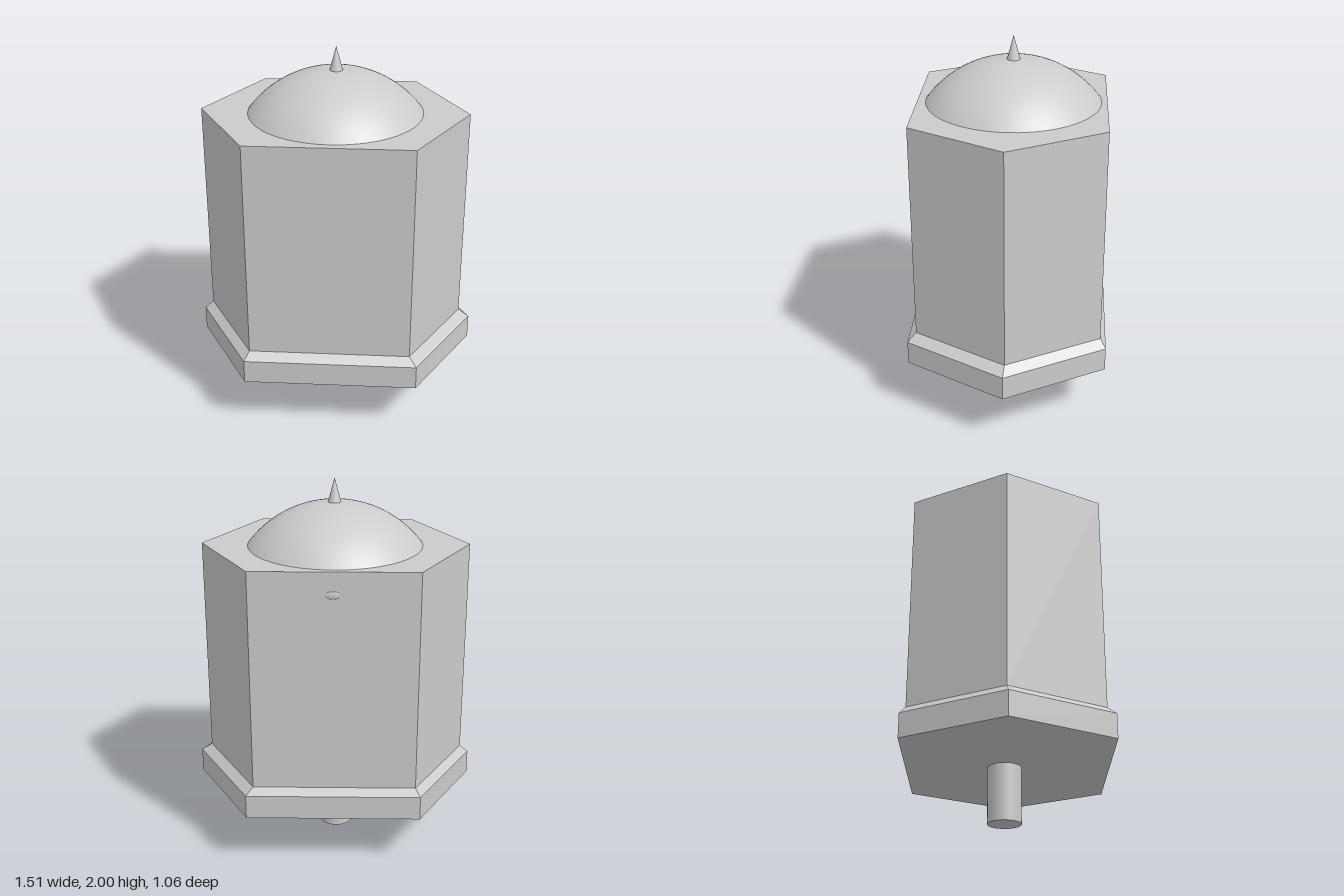
import * as THREE from 'three';

const material = new THREE.MeshStandardMaterial({ color: 0xcccccc });
const flatMaterial = new THREE.MeshStandardMaterial({ color: 0xcccccc, flatShading: true });

// Six corners of a hexagon: half width, half side length, half depth, centre
function hexRing(y, hw, hs, hd, cx = 0, cz = 0) {
  return [[hw, 0], [hs, hd], [-hs, hd], [-hw, 0], [-hs, -hd], [hs, -hd]]
    .map(([x, z]) => new THREE.Vector3(x + cx, y, z + cz));
}

// Faceted solid through a stack of rings, from bottom to top, with both ends closed
function loft(rings) {
  const points = [];
  const n = rings[0].length;
  const last = rings[rings.length - 1];
  for (let i = 0; i < n; i++) {
    const j = (i + 1) % n;
    for (let r = 0; r < rings.length - 1; r++) {
      const lo = rings[r], hi = rings[r + 1];
      points.push(lo[j], lo[i], hi[i], lo[j], hi[i], hi[j]);
    }
    if (i > 0 && j > 0) {
      points.push(rings[0][0], rings[0][i], rings[0][j], last[0], last[j], last[i]);
    }
  }
  const geometry = new THREE.BufferGeometry().setFromPoints(points);
  geometry.computeVertexNormals();
  return geometry;
}

export function createModel() {
  const model = new THREE.Group();
  const add = (name, geometry, x = 0, y = 0, z = 0, mat = material) => {
    const mesh = new THREE.Mesh(geometry, mat);
    mesh.name = name;
    mesh.position.set(x, y, z);
    model.add(mesh);
    return mesh;
  };

  // Stem under the base
  add('stem', new THREE.CylinderGeometry(0.088, 0.088, 0.31, 32), -0.008, 0.155, -0.015);

  // Hexagonal base with a bevelled upper edge
  add('base', loft([
    hexRing(0.3, 0.755, 0.457, 0.53),
    hexRing(0.43, 0.755, 0.457, 0.53),
    hexRing(0.47, 0.703, 0.425, 0.494, -0.006, -0.007),
  ]), 0, 0, 0, flatMaterial);

  // Tall hexagonal body
  add('body', loft([
    hexRing(0.47, 0.703, 0.425, 0.494, -0.006, -0.007),
    hexRing(1.65, 0.703, 0.425, 0.494, -0.006, -0.007),
  ]), 0, 0, 0, flatMaterial);

  // Domed top: a shallow spherical cap
  const rim = 0.458, rise = 0.225;
  const radius = (rim * rim + rise * rise) / (2 * rise);
  add('dome', new THREE.SphereGeometry(radius, 64, 24, 0, Math.PI * 2, 0, Math.asin(rim / radius)),
    -0.003, 1.65 + rise - radius, -0.013);

  // Spike on the dome
  add('spike', new THREE.ConeGeometry(0.038, 0.14, 24), 0, 1.93, -0.013);

  // Small shallow stud high on the back face
  add('stud', new THREE.SphereGeometry(1, 24, 12), 0, 1.53, -0.5).scale.set(0.04, 0.02, 0.006);

  return model;
}
